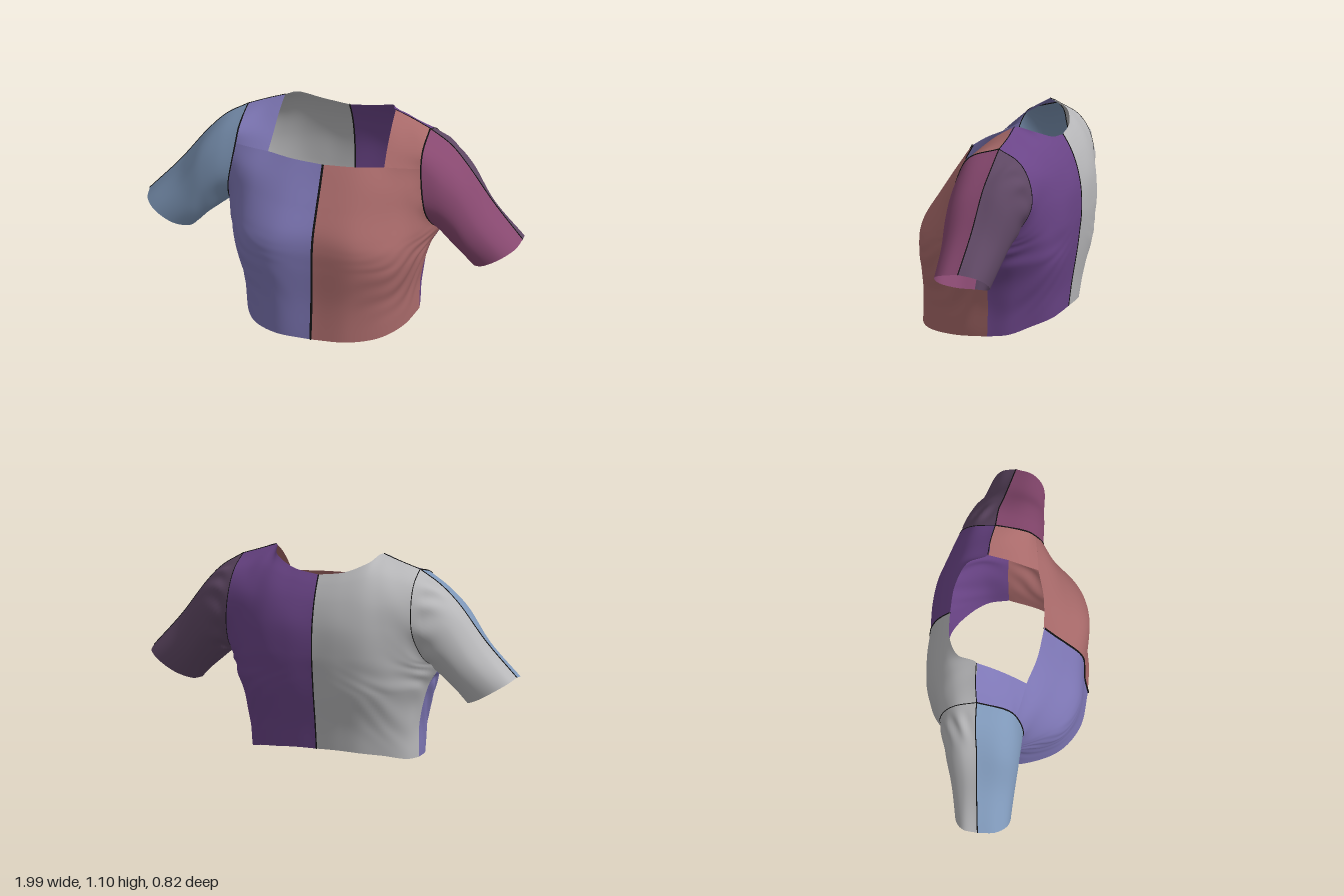
import * as THREE from 'three';

const mat = (name, color) => {
  const m = new THREE.MeshStandardMaterial({ color, side: THREE.DoubleSide });
  m.name = name;
  return m;
};
const curve = (pts) => new THREE.CatmullRomCurve3(pts.map((p) => new THREE.Vector3(...p)));

// Smooth cloth panel through rows of control points; mirrored over x when side is -1
function loft(rows, nu, nv, side, flip, fold) {
  const columns = [];
  const rowCurves = rows.map(curve);
  for (let i = 0; i <= nu; i++) {
    columns.push(new THREE.CatmullRomCurve3(rowCurves.map((c) => c.getPoint(i / nu))));
  }
  const pos = [], index = [];
  for (let j = 0; j <= nv; j++) {
    for (let i = 0; i <= nu; i++) {
      const p = columns[i].getPoint(j / nv);
      pos.push(p.x * side, p.y, p.z);
    }
  }
  const turned = flip !== (side < 0);
  for (let j = 0; j < nv; j++) {
    for (let i = 0; i < nu; i++) {
      const a = j * (nu + 1) + i, b = a + 1, c = a + nu + 1, d = c + 1;
      if (turned) index.push(a, d, b, a, c, d);
      else index.push(a, b, d, a, d, c);
    }
  }
  const g = new THREE.BufferGeometry();
  g.setAttribute('position', new THREE.Float32BufferAttribute(pos, 3));
  g.setIndex(index);
  g.computeVertexNormals();
  if (fold) {
    // shallow cloth folds along the normals, fading out at the panel edges
    const P = g.attributes.position, N = g.attributes.normal;
    for (let k = 0; k < P.count; k++) {
      const u = (k % (nu + 1)) / nu, v = Math.floor(k / (nu + 1)) / nv;
      const h = fold(u, v) * Math.min(1, 8 * u * (1 - u)) * Math.min(1, 8 * v * (1 - v));
      P.setXYZ(k, P.getX(k) + N.getX(k) * h, P.getY(k) + N.getY(k) * h, P.getZ(k) + N.getZ(k) * h);
    }
    g.computeVertexNormals();
  }
  return g;
}

// Sleeve rows, armhole to cuff, each from the top seam to the underarm seam
const sleeveFrontRows = [
  [[.485, 1.03, -.12], [.49, .975, .035], [.495, .9, .085], [.522, .69, .12], [.54, .57, .04], [.56, .505, -.055]],
  [[.6, .955, -.115], [.6, .91, .02], [.595, .83, .09], [.59, .67, .117], [.58, .55, .05], [.585, .485, -.055]],
  [[.69, .862, -.1], [.695, .82, .02], [.685, .75, .085], [.665, .61, .112], [.64, .49, .05], [.63, .445, -.06]],
  [[.835, .67, -.085], [.82, .64, .02], [.79, .585, .085], [.74, .49, .1], [.695, .42, .03], [.68, .4, -.065]],
  [[.995, .49, -.065], [.98, .475, .025], [.925, .445, .085], [.83, .39, .088], [.755, .352, .02], [.73, .345, -.07]],
];
const sleeveBackRows = [
  [[.485, 1.03, -.12], [.492, .97, -.23], [.5, .87, -.29], [.51, .73, -.3], [.535, .58, -.2], [.56, .505, -.055]],
  [[.6, .955, -.115], [.6, .92, -.2], [.595, .83, -.265], [.59, .67, -.275], [.58, .55, -.2], [.585, .485, -.055]],
  [[.69, .862, -.1], [.695, .83, -.18], [.685, .75, -.24], [.665, .6, -.25], [.64, .48, -.17], [.63, .445, -.06]],
  [[.835, .67, -.085], [.82, .64, -.155], [.79, .58, -.21], [.74, .49, -.215], [.695, .42, -.15], [.68, .4, -.065]],
  [[.995, .49, -.065], [.98, .475, -.14], [.925, .44, -.182], [.83, .385, -.185], [.755, .352, -.14], [.73, .345, -.07]],
];
// Points along the armhole, shared by the body panels
const frontArm = curve(sleeveFrontRows[0]), backArm = curve(sleeveBackRows[0]);
const onFront = (t) => frontArm.getPoint(t).toArray();
const onBack = (t) => backArm.getPoint(t).toArray();

// Front bodice rows, hem to neckline, each from centre to side
const frontRows = [
  [[0, 0, .405], [.19, 0, .385], [.33, 0, .295], [.415, .005, .135], [.45, .02, -.045]],
  [[0, .2, .387], [.2, .2, .38], [.35, .2, .3], [.432, .2, .135], [.455, .2, -.05]],
  [[0, .4, .385], [.235, .4, .388], [.395, .4, .31], [.48, .4, .145], [.505, .4, -.055]],
  [[0, .5, .38], [.235, .5, .385], [.4, .5, .305], [.495, .5, .15], onFront(1)],
  [[0, .58, .36], [.22, .57, .365], [.39, .57, .285], [.49, .57, .165], onFront(.8)],
  [[0, .7, .295], [.2, .7, .287], [.36, .7, .235], [.46, .7, .17], onFront(.6)],
  [[0, .8, .235], [.19, .8, .225], [.35, .8, .185], [.44, .8, .15], onFront(.5)],
  [[0, .9, .18], [.17, .9, .16], [.31, .9, .12], [.4, .9, .105], onFront(.4)],
];
// Strap rows, neckline corner to shoulder seam
const strapRows = [
  [[.31, .9, .12], [.4, .9, .105], onFront(.4)],
  [[.304, .965, .05], [.397, .965, .045], onFront(.8 / 3)],
  [[.3, 1.04, -.04], [.395, 1.022, -.045], onFront(.4 / 3)],
  [[.295, 1.1, -.14], [.39, 1.065, -.135], onFront(0)],
];
// Back bodice rows, hem to underarm, then underarm to neck and shoulder
const lowerBackRows = [
  [[0, .09, -.335], [.12, .09, -.335], [.23, .08, -.315], [.335, .06, -.245], [.42, .03, -.15], [.45, .02, -.045]],
  [[0, .22, -.352], [.13, .22, -.352], [.25, .22, -.335], [.355, .21, -.275], [.432, .2, -.17], [.455, .2, -.05]],
  [[0, .4, -.382], [.14, .4, -.387], [.28, .4, -.375], [.39, .4, -.32], [.475, .4, -.2], [.505, .4, -.055]],
  [[0, .5, -.395], [.14, .5, -.4], [.28, .5, -.385], [.4, .5, -.335], [.495, .5, -.22], onBack(1)],
];
const upperBackRows = [
  [[0, .6, -.405], [.14, .6, -.408], [.28, .6, -.395], [.39, .6, -.35], [.48, .59, -.285], onBack(.8)],
  [[0, .74, -.4], [.14, .75, -.405], [.27, .75, -.39], [.37, .75, -.357], [.45, .74, -.325], onBack(.6)],
  [[0, .87, -.37], [.14, .875, -.372], [.25, .89, -.36], [.34, .885, -.338], [.42, .88, -.317], onBack(.4)],
  [[0, .95, -.335], [.135, .965, -.33], [.25, .995, -.305], [.325, 1.01, -.265], [.405, .985, -.25], onBack(.2)],
  [[0, 1, -.305], [.14, 1.022, -.294], [.252, 1.07, -.24], [.295, 1.1, -.14], [.39, 1.065, -.135], onBack(0)],
];
const backRows = [...lowerBackRows, ...upperBackRows];

// Fold patterns: diagonal drapes under the bust and at the waist, creases behind the arm
const drape = (u, v, lean) => Math.sin(62 * v + lean * u + 2 * Math.sin(9 * u + 11 * v))
  * Math.exp(-(((v - .25) / .16) ** 2)) * Math.min(1, 1.5 * u * u);
const bustFolds = (u, v) => .006 * drape(u, v, -22);
const backFolds = (u, v) => .005 * drape(u, v, 22);
const sleeveFolds = (u, v) => .006 * Math.sin(34 * u + 12 * v) * Math.exp(-(((v - .18) / .17) ** 2));

export function createModel() {
  const model = new THREE.Group();
  model.name = 'blouse';
  const gray = mat('light gray', 0xb8b8ba);
  const seamMat = mat('black thread', 0x111111);
  const sides = [
    { name: 'left', s: 1, front: mat('dusty red', 0xaa6b6b), back: mat('purple', 0x6b4588),
      sleeveFront: mat('plum', 0x87486f), sleeveBack: mat('dark mauve', 0x5f4864) },
    { name: 'right', s: -1, front: mat('periwinkle', 0x7d76b4), back: gray,
      sleeveFront: mat('steel blue', 0x7f98b9), sleeveBack: gray },
  ];
  const add = (geometry, material, name) => {
    const mesh = new THREE.Mesh(geometry, material);
    mesh.name = name;
    model.add(mesh);
  };
  const seam = (pts, s, radius, name) => add(new THREE.TubeGeometry(
    curve(pts.map(([x, y, z]) => [x * s, y, z])), 40, radius, 5), seamMat, name);

  for (const { name, s, front, back, sleeveFront, sleeveBack } of sides) {
    add(loft(frontRows, 40, 90, s, false, bustFolds), front, name + 'FrontPanel');
    add(loft(strapRows, 12, 16, s, false), front, name + 'Strap');
    add(loft(backRows, 40, 90, s, true, backFolds), back, name + 'BackPanel');
    add(loft(sleeveFrontRows, 30, 32, s, false), sleeveFront, name + 'SleeveFront');
    add(loft(sleeveBackRows, 40, 48, s, true, sleeveFolds), sleeveBack, name + 'SleeveBack');
    // seams where the sleeve joins the body, along the sleeve and over the shoulder
    seam(sleeveFrontRows[0], s, .004, name + 'ArmholeFrontSeam');
    seam(sleeveBackRows[0], s, .0025, name + 'ArmholeBackSeam');
    seam(sleeveFrontRows.map((r) => r[0]), s, .003, name + 'SleeveSeam');
    seam(strapRows[3], s, .0025, name + 'ShoulderSeam');
  }
  // centre seams
  seam(frontRows.map((r) => r[0]), 1, .006, 'centreFrontSeam');
  seam(backRows.map((r) => r[0]), 1, .004, 'centreBackSeam');
  return model;
}
